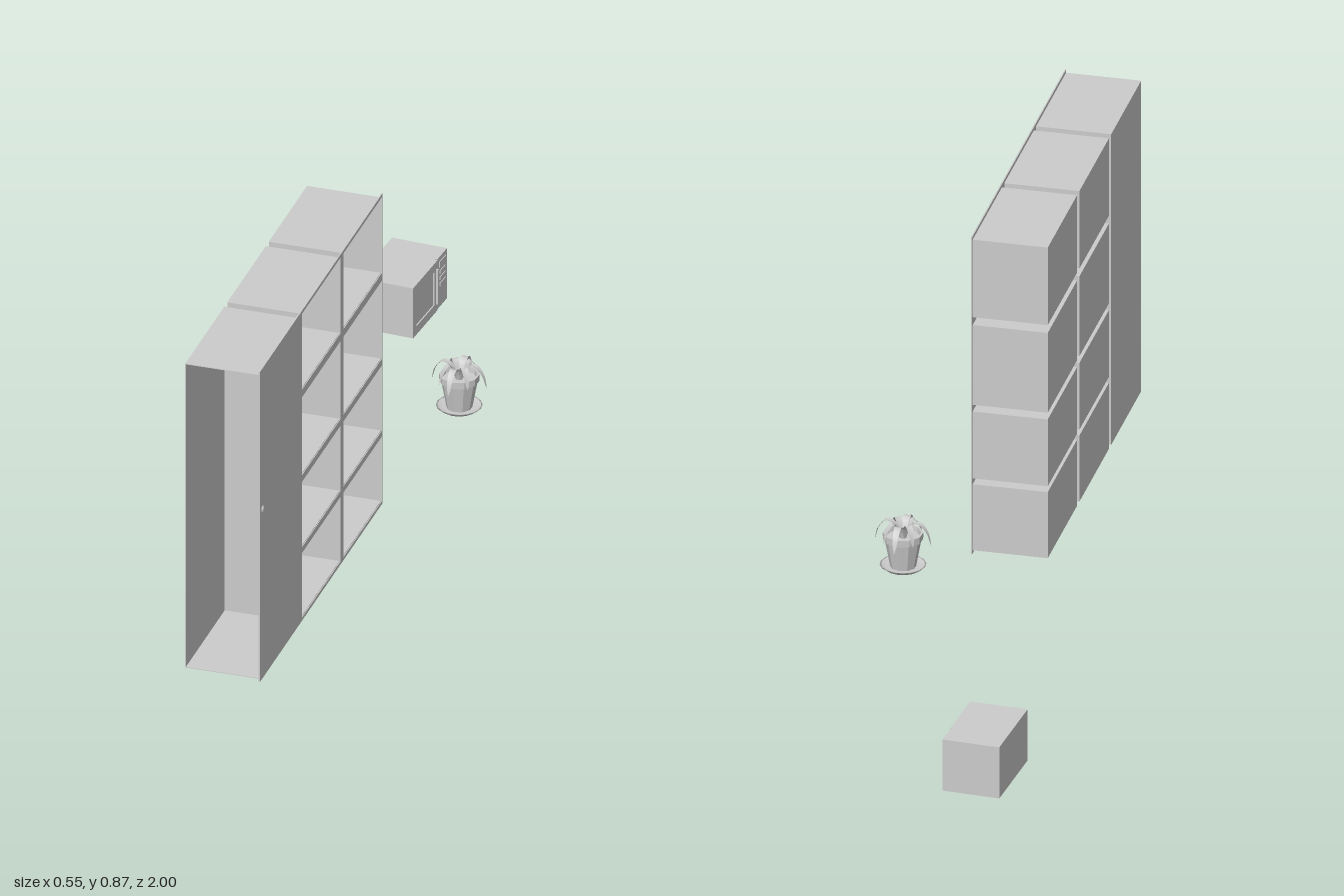
import * as THREE from 'three';

const grey = new THREE.MeshStandardMaterial({ color: 0xcccccc, flatShading: true });
const greyDouble = new THREE.MeshStandardMaterial({ color: 0xcccccc, side: THREE.DoubleSide });

function add(parent, name, geometry, material = grey) {
  const mesh = new THREE.Mesh(geometry, material);
  mesh.name = name;
  parent.add(mesh);
  return mesh;
}

// Box given by its limits on each axis
function slab(parent, name, x0, x1, y0, y1, z0, z1) {
  const mesh = add(parent, name, new THREE.BoxGeometry(x1 - x0, y1 - y0, z1 - z0));
  mesh.position.set((x0 + x1) / 2, (y0 + y1) / 2, (z0 + z1) / 2);
  return mesh;
}

// Thin-walled compartment open towards +x
function compartment(parent, name, [y0, y1], [z0, z1], endWall = true) {
  const g = new THREE.Group();
  g.name = name;
  const back = -0.18, front = -0.002, t = 0.0015;
  slab(g, 'backPanel', back, back + t, y0, y1, z0, z1);
  slab(g, 'floorPanel', back, front, y0, y0 + t, z0, z1);
  slab(g, 'topPanel', back, front, y1 - t, y1, z0, z1);
  slab(g, 'sidePanel', back, front, y0, y1, z0, z0 + t);
  if (endWall) slab(g, 'endPanel', back, front, y0, y1, z1 - t, z1);
  parent.add(g);
}

function buildShelving() {
  const g = new THREE.Group();
  g.name = 'shelving';
  const rows = [[0.07, 0.238], [0.253, 0.423], [0.44, 0.643], [0.663, 0.86]];
  const columns = [[0.006, 0.29], [0.312, 0.598]];
  const bottom = 0.062, top = 0.868, split = 0.606, end = 0.91;

  // Face frame with one opening per compartment
  const face = new THREE.Shape();
  face.moveTo(0, bottom).lineTo(split, bottom).lineTo(split, top).lineTo(0, top).closePath();
  for (const [z0, z1] of columns) {
    for (const [y0, y1] of rows) {
      const hole = new THREE.Path();
      hole.moveTo(z0, y0).lineTo(z0, y1).lineTo(z1, y1).lineTo(z1, y0).closePath();
      face.holes.push(hole);
      compartment(g, 'shelfCompartment', [y0, y1], [z0, z1]);
    }
  }
  const frame = new THREE.ExtrudeGeometry(face, { depth: 0.003, bevelEnabled: false });
  add(g, 'faceFrame', frame.rotateY(-Math.PI / 2));

  // Tall cupboard with its end left open, closed by a door with a knob
  compartment(g, 'tallCupboard', [0.07, 0.86], [0.62, end], false);
  slab(g, 'cupboardDoor', -0.003, 0, bottom, top, split, end);
  const knob = add(g, 'doorKnob', new THREE.SphereGeometry(0.009, 12, 8));
  knob.scale.x = 0.4;
  knob.position.set(0.001, 0.502, 0.892);

  g.position.set(0.143, 0, 0.08);
  g.rotation.y = 0.074;
  return g;
}

// Arching pointed leaf: a two-sided strip folded along its midrib
function leafGeometry(reach, droop) {
  const curve = new THREE.CatmullRomCurve3([
    [0.006, 0.235], [0.017, 0.27], [reach * 0.55, 0.281], [reach * 0.85, 0.262], [reach, droop],
  ].map(([r, y]) => new THREE.Vector3(r, y, 0)));
  const n = 10, pos = [], index = [];
  for (let i = 0; i <= n; i++) {
    const t = i / n, p = curve.getPoint(t);
    const w = 0.0095 * Math.min(1, 0.45 + t * 1.4) * Math.sqrt(1 - t * t);
    for (const s of [-1, 0, 1]) pos.push(p.x, p.y + Math.abs(s) * w * 0.25, s * w);
    if (i === n) break;
    for (let j = 0; j < 2; j++) {
      const a = i * 3 + j;
      index.push(a, a + 1, a + 3, a + 1, a + 4, a + 3);
    }
  }
  const geo = new THREE.BufferGeometry();
  geo.setAttribute('position', new THREE.Float32BufferAttribute(pos, 3));
  geo.setIndex(index);
  geo.computeVertexNormals();
  return geo;
}

function buildPlant() {
  const g = new THREE.Group();
  g.name = 'pottedPlant';
  const lathe = (name, points, sides) =>
    add(g, name, new THREE.LatheGeometry(points.map(([r, y]) => new THREE.Vector2(r, y)), sides), greyDouble);
  lathe('saucer', [[0, 0.165], [0.042, 0.165], [0.054, 0.174], [0.05, 0.174], [0.04, 0.169], [0, 0.169]], 16);
  const pot = lathe('pot', [[0, 0.169], [0.03, 0.169], [0.042, 0.235], [0.042, 0.235], [0.046, 0.237],
    [0.047, 0.254], [0.042, 0.254], [0.04, 0.242], [0, 0.242]], 10);
  pot.material = greyDouble.clone();
  pot.material.flatShading = true;

  // Long leaves along the axes, shorter ones between
  for (let i = 0; i < 8; i++) {
    const long = i % 2 === 0;
    const leaf = add(g, 'leaf', leafGeometry(long ? 0.068 : 0.05, long ? 0.228 : 0.235), greyDouble);
    leaf.rotation.y = i * Math.PI / 4;
  }
  g.position.set(0.204, 0, -0.235);
  return g;
}

function buildOven() {
  const g = new THREE.Group();
  g.name = 'microwaveOven';
  slab(g, 'ovenBody', -0.275, -0.143, 0, 0.13, -1, -0.79);

  // Door with a window opening
  const door = new THREE.Shape();
  door.moveTo(-0.938, 0).lineTo(-0.79, 0).lineTo(-0.79, 0.13).lineTo(-0.938, 0.13).closePath();
  const hole = new THREE.Path();
  hole.moveTo(-0.918, 0.022).lineTo(-0.918, 0.108).lineTo(-0.81, 0.108).lineTo(-0.81, 0.022).closePath();
  door.holes.push(hole);
  const doorGeo = new THREE.ExtrudeGeometry(door, { depth: 0.006, bevelEnabled: false });
  add(g, 'ovenDoor', doorGeo.rotateY(-Math.PI / 2)).position.x = -0.137;
  slab(g, 'ovenWindow', -0.143, -0.14, 0.022, 0.108, -0.918, -0.81);
  slab(g, 'doorHandle', -0.137, -0.132, 0.02, 0.11, -0.934, -0.928);

  // Control panel with a display and buttons
  slab(g, 'controlPanel', -0.143, -0.139, 0, 0.13, -1, -0.942);
  slab(g, 'display', -0.139, -0.137, 0.104, 0.118, -0.99, -0.952);
  for (let i = 0; i < 3; i++) {
    const y = 0.086 - i * 0.016;
    slab(g, 'controlButton', -0.139, -0.137, y, y + 0.008, -0.988, -0.954);
  }
  return g;
}

export function createModel() {
  const model = new THREE.Group();
  model.name = 'furnitureSet';
  model.add(buildShelving(), buildPlant(), buildOven());
  return model;
}
